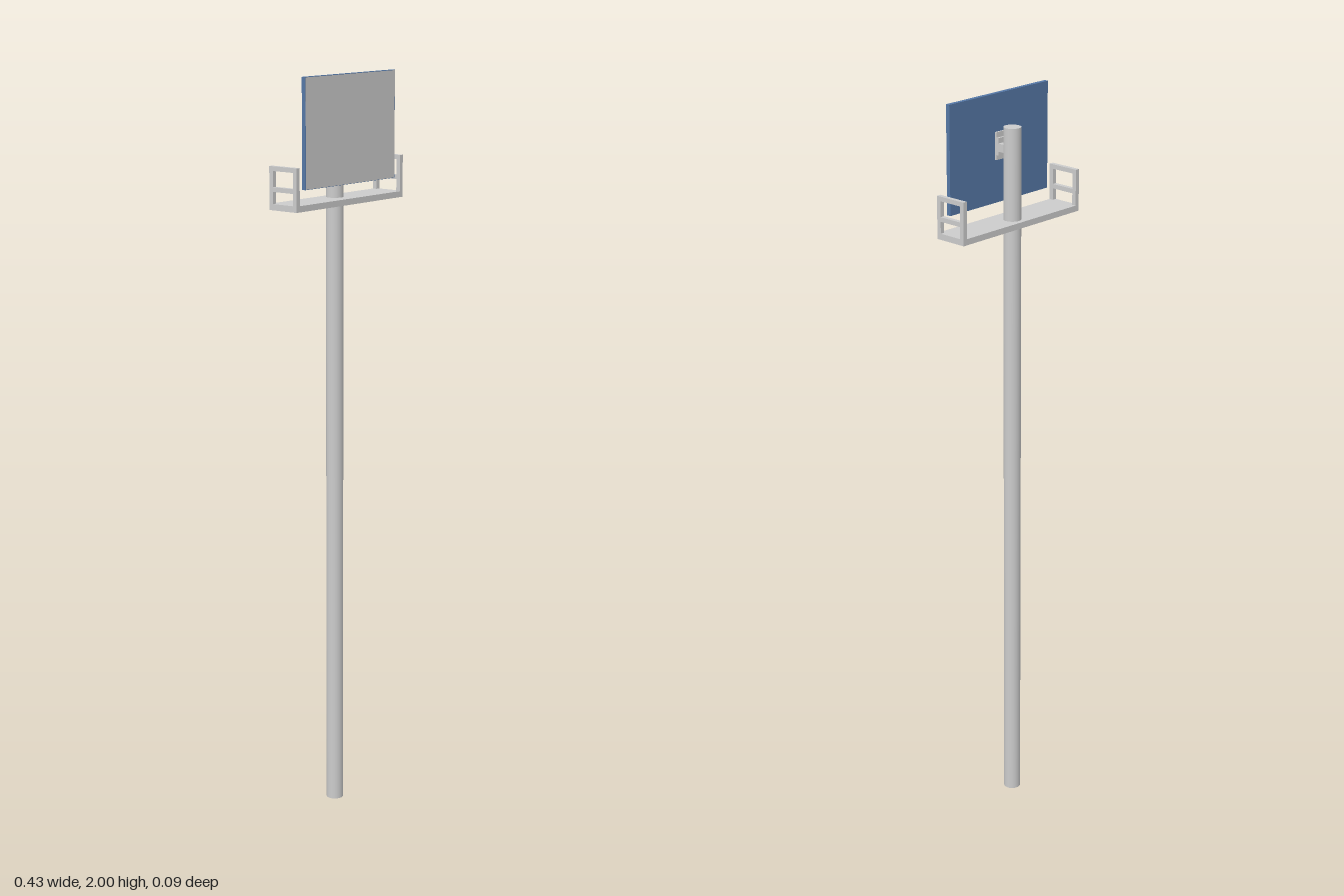
import * as THREE from 'three';

export function createModel() {
  const model = new THREE.Group();
  const grey = new THREE.MeshStandardMaterial({ color: 0xcccccc });
  const blue = new THREE.MeshStandardMaterial({ color: 0x5577a5 });

  // Box given by its lower and upper corners
  function box(name, min, max, material = grey, parent = model) {
    const size = max.map((v, i) => v - min[i]);
    const mesh = new THREE.Mesh(new THREE.BoxGeometry(...size), material);
    mesh.position.set(...max.map((v, i) => (v + min[i]) / 2));
    mesh.name = name;
    parent.add(mesh);
    return mesh;
  }

  // Tall round pole, slightly behind the centre
  const pole = new THREE.Mesh(new THREE.CylinderGeometry(0.023, 0.023, 1.92, 20), grey);
  pole.position.set(0, 0.96, -0.011);
  pole.name = 'pole';
  model.add(pole);

  // Service platform around the pole
  box('platform', [-0.215, 1.663, -0.047], [0.215, 1.679, 0.045]);

  // Guard rail at each end: two posts, a middle and a top rung
  for (const side of [-1, 1]) {
    const rail = new THREE.Group();
    rail.name = side > 0 ? 'leftGuardRail' : 'rightGuardRail';
    const x0 = side > 0 ? 0.203 : -0.215;
    const x1 = x0 + 0.012;
    box('frontPost', [x0, 1.679, 0.033], [x1, 1.775, 0.045], grey, rail);
    box('backPost', [x0, 1.679, -0.047], [x1, 1.775, -0.035], grey, rail);
    for (const y of [1.71, 1.763]) {
      box('rung', [x0, y, -0.035], [x1, y + 0.012, 0.033], grey, rail);
    }
    model.add(rail);
  }

  // Sign panel: coloured backing and edges with a plain front face
  box('panelBacking', [-0.18, 1.717, 0.033], [0.18, 2, 0.0445], blue);
  const face = new THREE.Mesh(new THREE.PlaneGeometry(0.358, 0.281), grey);
  face.position.set(0, 1.8585, 0.045);
  face.name = 'panelFace';
  model.add(face);

  // Bracket joining the pole to the panel
  box('bracketArm', [-0.017, 1.853, 0], [0.017, 1.874, 0.024]);
  box('bracketStep', [-0.017, 1.843, 0.022], [0.017, 1.888, 0.029]);
  box('bracketPlate', [-0.017, 1.83, 0.028], [0.017, 1.902, 0.034]);

  return model;
}
